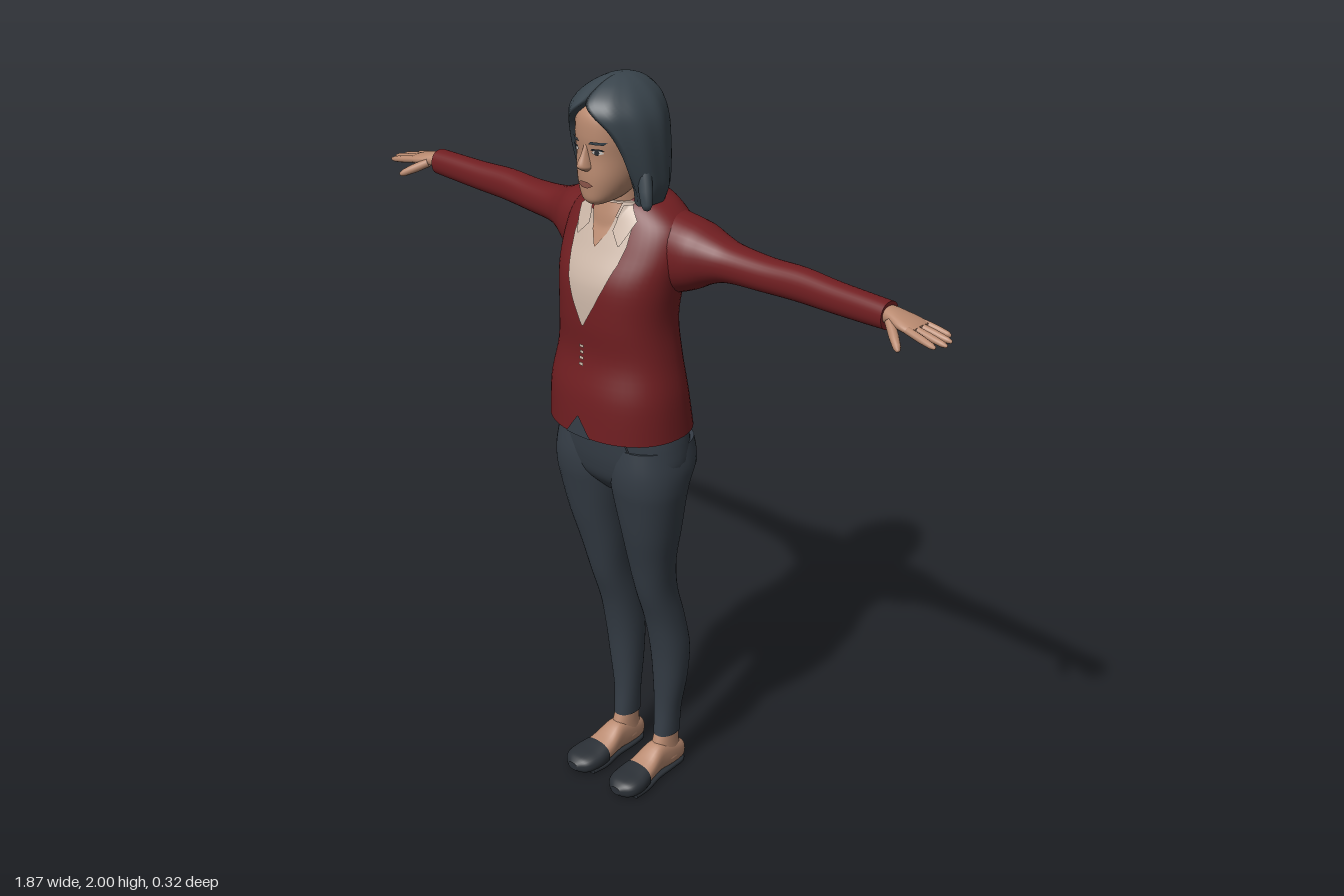
import * as THREE from 'three';

const mat = (name, color) => {
  const m = new THREE.MeshStandardMaterial({ color });
  m.name = name;
  m.side = THREE.DoubleSide;
  return m;
};

// Catmull-Rom subdivision of rows of numbers
function smooth(keys, k = 5) {
  const out = [], n = keys.length;
  for (let i = 0; i < n - 1; i++) {
    const [p0, p1, p2, p3] = [Math.max(i - 1, 0), i, i + 1, Math.min(i + 2, n - 1)].map(j => keys[j]);
    for (let j = 0; j < k; j++) {
      const t = j / k;
      out.push(p1.map((v, c) => v + 0.5 * t * (p2[c] - p0[c] + t * (2 * p0[c] - 5 * v + 4 * p2[c] - p3[c]
        + t * (3 * (v - p2[c]) + p3[c] - p0[c])))));
    }
  }
  out.push(keys[n - 1]);
  return out;
}

// Skin a list of closed rings, with flat end caps
function skin(rings) {
  const n = rings[0].length, pts = rings.flat(), idx = [];
  for (let i = 0; i < rings.length - 1; i++) {
    for (let j = 0; j < n; j++) {
      const a = i * n + j, b = i * n + (j + 1) % n;
      idx.push(a, b, b + n, a, b + n, a + n);
    }
  }
  [rings[0], rings[rings.length - 1]].forEach((ring, e) => {
    const base = pts.length;
    const centre = ring.reduce((s, p) => s.add(p), new THREE.Vector3()).divideScalar(n);
    pts.push(...ring, centre);
    for (let j = 0; j < n; j++) {
      const a = base + j, b = base + (j + 1) % n;
      if (e) idx.push(a, b, base + n); else idx.push(b, a, base + n);
    }
  });
  // Turn the faces outward
  let volume = 0;
  for (let i = 0; i < idx.length; i += 3) {
    volume += pts[idx[i]].dot(pts[idx[i + 1]].clone().cross(pts[idx[i + 2]]));
  }
  if (volume < 0) idx.reverse();
  const g = new THREE.BufferGeometry().setFromPoints(pts);
  g.setIndex(idx);
  g.computeVertexNormals();
  return g;
}

// Loft of rounded sections; row = [position on axis, a min, a max, b min, b max]
function loft(keys, axis = 'y', n = 32, p = 2.2) {
  const pw = v => Math.sign(v) * Math.abs(v) ** (2 / p);
  return skin(smooth(keys).map(([t, a0, a1, b0, b1]) => Array.from({ length: n }, (_, j) => {
    const q = j / n * Math.PI * 2;
    const a = (a0 + a1) / 2 + (a1 - a0) / 2 * pw(Math.cos(q));
    const b = (b0 + b1) / 2 + (b1 - b0) / 2 * pw(Math.sin(q));
    return axis === 'y' ? new THREE.Vector3(a, t, b)
      : axis === 'x' ? new THREE.Vector3(t, a, b) : new THREE.Vector3(a, b, t);
  })));
}

// Front z of an upright loft at x, y
function frontZ(keys, x, y, p = 2.2) {
  const rows = smooth(keys);
  for (let i = 0; i < rows.length - 1; i++) {
    const [r, s] = [rows[i], rows[i + 1]];
    if (y < r[0] || y > s[0]) continue;
    const [, a0, a1, b0, b1] = r.map((v, c) => v + (s[c] - v) * (y - r[0]) / (s[0] - r[0]));
    const u = Math.abs(x - (a0 + a1) / 2) / ((a1 - a0) / 2);
    if (u < 1) return (b0 + b1) / 2 + (b1 - b0) / 2 * (1 - u ** p) ** (1 / p);
  }
  return -1;
}

// Thin painted plate following the front of lofts; rows = [y, x min, x max]
function patch(bodies, rows, off) {
  const pts = [], idx = [], m = 10, sub = 5;
  for (let i = 0; i <= (rows.length - 1) * sub; i++) {
    const k = Math.min(Math.floor(i / sub), rows.length - 2), t = i / sub - k;
    const [y, x0, x1] = rows[k].map((v, c) => v + (rows[k + 1][c] - v) * t);
    for (let j = 0; j <= m; j++) {
      const x = x0 + (x1 - x0) * j / m;
      pts.push(new THREE.Vector3(x, y, Math.max(...bodies.map(b => frontZ(b, x, y))) + off));
      if (i && j) {
        const d = pts.length - 1, c = d - 1, b = d - m - 1, a = b - 1;
        idx.push(a, b, d, a, d, c);
      }
    }
  }
  const g = new THREE.BufferGeometry().setFromPoints(pts);
  g.setIndex(idx);
  g.computeVertexNormals();
  return g;
}

// Tapered finger between two points
function finger(from, to, r) {
  const a = new THREE.Vector3(...from), d = new THREE.Vector3(...to).sub(a), L = d.length();
  const g = new THREE.LatheGeometry([[r, 0], [r, L * 0.5], [r * 0.8, L * 0.85], [r * 0.45, L * 0.97], [0, L]]
    .map(v => new THREE.Vector2(...v)), 10);
  g.applyQuaternion(new THREE.Quaternion().setFromUnitVectors(new THREE.Vector3(0, 1, 0), d.normalize()));
  return g.translate(a.x, a.y, a.z);
}

export function createModel() {
  const model = new THREE.Group();
  model.name = 'woman';
  const red = mat('cardigan red', 0x701e21), navy = mat('trouser slate', 0x353d46);
  const hairMat = mat('hair slate', 0x39444c), flesh = mat('skin', 0xb8896f);
  const cream = mat('shirt cream', 0xcab5a6), dark = mat('shoe black', 0x2a2f35);
  const lip = mat('lip', 0x8e574b), white = mat('eye white', 0xd8d2cc);

  const add = (name, g, m) => {
    const mesh = new THREE.Mesh(g, m);
    mesh.name = name;
    model.add(mesh);
  };
  const pair = (name, g, m) => {
    const r = g.clone().scale(-1, 1, 1);
    r.setIndex(Array.from(g.index.array).reverse());
    add('left ' + name, g, m);
    add('right ' + name, r, m);
  };
  const sym = rows => rows.map(([t, x, b0, b1]) => [t, -x, x, b0, b1]);
  const band = rows => rows.map(([y, w]) => [y, -w, w]);

  // Cardigan, shirt and collar
  const torso = sym([[1.095, 0.196, -0.15, 0.16], [1.2, 0.19, -0.13, 0.155], [1.3, 0.172, -0.115, 0.136],
    [1.4, 0.162, -0.11, 0.14], [1.5, 0.172, -0.125, 0.132], [1.58, 0.184, -0.14, 0.095],
    [1.64, 0.172, -0.14, 0.065], [1.68, 0.125, -0.128, 0.045], [1.7, 0.085, -0.113, 0.025], [1.71, 0.07, -0.1, 0]]);
  const collar = sym([[1.63, 0.09, -0.1, 0.07], [1.66, 0.082, -0.095, 0.065], [1.695, 0.07, -0.09, 0.056]]);
  add('cardigan body', loft(torso, 'y', 48), red);
  add('shirt collar', loft(collar), cream);
  add('shirt front', patch([torso, collar], band([[1.39, 0.003], [1.45, 0.037], [1.5, 0.06], [1.56, 0.08],
    [1.6, 0.088], [1.66, 0.085]]), 0.004), cream);
  add('open neck', patch([torso, collar], band([[1.585, 0.002], [1.62, 0.024], [1.66, 0.038], [1.694, 0.046]]), 0.007), flesh);
  pair('collar wing', patch([torso, collar], [[1.6, 0.067, 0.072], [1.63, 0.04, 0.085], [1.66, 0.044, 0.095],
    [1.69, 0.05, 0.066]], 0.0095), cream);
  add('hem notch', patch([torso], band([[1.096, 0.042], [1.15, 0.002]]), 0.004), navy);
  for (let i = 0; i < 4; i++) {
    const y = 1.28 + i * 0.016;
    add('button', patch([torso], [[y, -0.014, 0.0], [y + 0.008, -0.014, 0.0]], 0.004), cream);
  }

  // Sleeves
  pair('sleeve', loft([[0.11, 1.45, 1.674, -0.138, 0.035], [0.2, 1.485, 1.657, -0.14, 0.02],
    [0.25, 1.512, 1.637, -0.132, -0.003], [0.3, 1.526, 1.622, -0.125, -0.022], [0.4, 1.53, 1.615, -0.12, -0.036],
    [0.5, 1.533, 1.617, -0.12, -0.045], [0.6, 1.536, 1.613, -0.113, -0.045], [0.7, 1.54, 1.612, -0.108, -0.044],
    [0.765, 1.543, 1.611, -0.107, -0.043]], 'x'), red);

  // Hands
  pair('palm', loft([[0.75, 1.558, 1.602, -0.098, -0.052], [0.78, 1.562, 1.6, -0.102, -0.045],
    [0.81, 1.56, 1.593, -0.11, -0.037], [0.84, 1.558, 1.585, -0.114, -0.035], [0.855, 1.561, 1.579, -0.11, -0.04]], 'x', 20), flesh);
  [[-0.044, -0.036, 0.924], [-0.064, -0.063, 0.937], [-0.084, -0.09, 0.93], [-0.103, -0.117, 0.908]].forEach(([z0, z1, x]) =>
    pair('finger', finger([0.84, 1.572, z0], [x, 1.556, z1], 0.0095), flesh));
  pair('thumb', finger([0.785, 1.575, -0.05], [0.85, 1.537, 0], 0.012), flesh);

  // Trousers
  const hips = sym([[0.905, 0.04, -0.04, 0.05], [0.95, 0.16, -0.085, 0.09], [1.0, 0.192, -0.118, 0.106],
    [1.06, 0.19, -0.13, 0.114], [1.12, 0.178, -0.13, 0.118]]);
  add('trouser seat', loft(hips, 'y', 40), navy);
  pair('trouser leg', loft([[0.118, 0.046, 0.106, -0.137, -0.055], [0.2, 0.042, 0.112, -0.137, -0.06],
    [0.3, 0.036, 0.128, -0.147, -0.055], [0.4, 0.032, 0.136, -0.15, -0.043], [0.5, 0.032, 0.134, -0.13, -0.02],
    [0.6, 0.032, 0.135, -0.1, 0.015], [0.7, 0.025, 0.15, -0.082, 0.042], [0.8, 0.018, 0.172, -0.085, 0.07],
    [0.9, 0.005, 0.19, -0.092, 0.093], [0.95, 0, 0.196, -0.104, 0.103], [1.0, 0, 0.196, -0.13, 0.106],
    [1.06, 0.005, 0.185, -0.125, 0.1]]), navy);
  pair('pocket slit', patch([hips], [[1.06, 0.112, 0.118], [1.092, 0.1, 0.106]], 0.005), dark);

  // Feet and shoes
  pair('ankle', loft([[0.04, 0.047, 0.108, -0.142, -0.035], [0.08, 0.049, 0.104, -0.136, -0.042],
    [0.13, 0.05, 0.102, -0.131, -0.06]], 'y', 24), flesh);
  pair('foot', loft([[-0.155, 0.067, 0.091, 0.025, 0.055], [-0.14, 0.054, 0.102, 0.012, 0.073],
    [-0.1, 0.048, 0.107, 0.008, 0.09], [-0.05, 0.044, 0.11, 0.01, 0.098], [0, 0.036, 0.12, 0.008, 0.07],
    [0.05, 0.034, 0.128, 0.006, 0.05]], 'z', 28, 2.6), flesh);
  pair('shoe toe', loft([[0.02, 0.031, 0.127, 0, 0.064], [0.05, 0.029, 0.134, 0, 0.057], [0.08, 0.033, 0.133, 0, 0.052],
    [0.1, 0.044, 0.122, 0.003, 0.046], [0.115, 0.066, 0.1, 0.012, 0.034]], 'z', 28, 2.5), dark);
  pair('shoe sole', loft([[-0.153, 0.066, 0.092, 0.004, 0.016], [-0.135, 0.052, 0.104, 0.002, 0.017],
    [-0.09, 0.046, 0.109, 0.002, 0.016], [-0.03, 0.042, 0.115, 0.002, 0.016], [0.03, 0.03, 0.13, 0, 0.016],
    [0.08, 0.033, 0.133, 0, 0.016]], 'z', 24, 4), dark);

  // Neck, head and nose
  add('neck', loft(sym([[1.6, 0.06, -0.08, 0.04], [1.68, 0.055, -0.075, 0.05], [1.78, 0.055, -0.07, 0.06]]), 'y', 24), flesh);
  const head = sym([[1.698, 0.022, 0.06, 0.112], [1.71, 0.042, 0.01, 0.123], [1.735, 0.06, -0.03, 0.127],
    [1.77, 0.073, -0.06, 0.129], [1.82, 0.081, -0.085, 0.127], [1.87, 0.085, -0.095, 0.131],
    [1.92, 0.08, -0.09, 0.124], [1.955, 0.055, -0.06, 0.09]]);
  add('head', loft(head, 'y', 40), flesh);
  add('nose', loft(sym([[1.785, 0.011, 0.1, 0.134], [1.794, 0.017, 0.1, 0.15], [1.805, 0.015, 0.1, 0.153],
    [1.83, 0.009, 0.1, 0.14], [1.857, 0.008, 0.1, 0.127]]), 'y', 16, 2), flesh);

  // Face details
  pair('eye', patch([head], [[1.829, 0.03, 0.036], [1.834, 0.021, 0.049], [1.841, 0.027, 0.043]], 0.003), white);
  pair('iris', patch([head], [[1.829, 0.031, 0.037], [1.835, 0.029, 0.041], [1.841, 0.031, 0.039]], 0.005), dark);
  pair('eyelid', patch([head], [[1.84, 0.02, 0.051], [1.845, 0.025, 0.046]], 0.005), dark);
  pair('eyebrow', patch([head], [[1.855, 0.015, 0.05], [1.862, 0.022, 0.057]], 0.004), hairMat);
  add('lips', patch([head], band([[1.743, 0.009], [1.751, 0.025], [1.759, 0.011]]), 0.004), lip);

  // Bobbed hair, open at the face; row = [y, half width, back z, front z, half angle of the opening]
  const bob = smooth([[1.692, 0.104, -0.095, 0.07, 0.95], [1.73, 0.118, -0.105, 0.085, 0.9], [1.78, 0.122, -0.11, 0.108, 0.84],
    [1.84, 0.122, -0.111, 0.128, 0.76], [1.89, 0.117, -0.11, 0.14, 0.6], [1.925, 0.106, -0.105, 0.143, 0.32],
    [1.955, 0.086, -0.094, 0.126, 0.02], [1.98, 0.058, -0.068, 0.09, 0.01], [1.995, 0.03, -0.035, 0.05, 0.01],
    [2.0, 0.006, -0.006, 0.018, 0.01]], 6);
  add('hair', skin(bob.map(([y, w, z0, z1, a]) => {
    const arc = (k, flip) => Array.from({ length: 49 }, (_, i) => {
      const t = (flip ? 48 - i : i) / 48, q = a + (2 * Math.PI - 2 * a) * t;
      const r = k * (1 + 0.012 * Math.sin(q * 11));
      return new THREE.Vector3(w * r * Math.sin(q), y, (z0 + z1) / 2 + (z1 - z0) / 2 * r * Math.cos(q));
    });
    return [...arc(1, false), ...arc(0.7, true)];
  })), hairMat);
  // Flicked-out lock at the left of the bob
  add('hair lock', finger([0.1, 1.78, 0.03], [0.124, 1.692, 0.045], 0.018), hairMat);

  return model;
}
